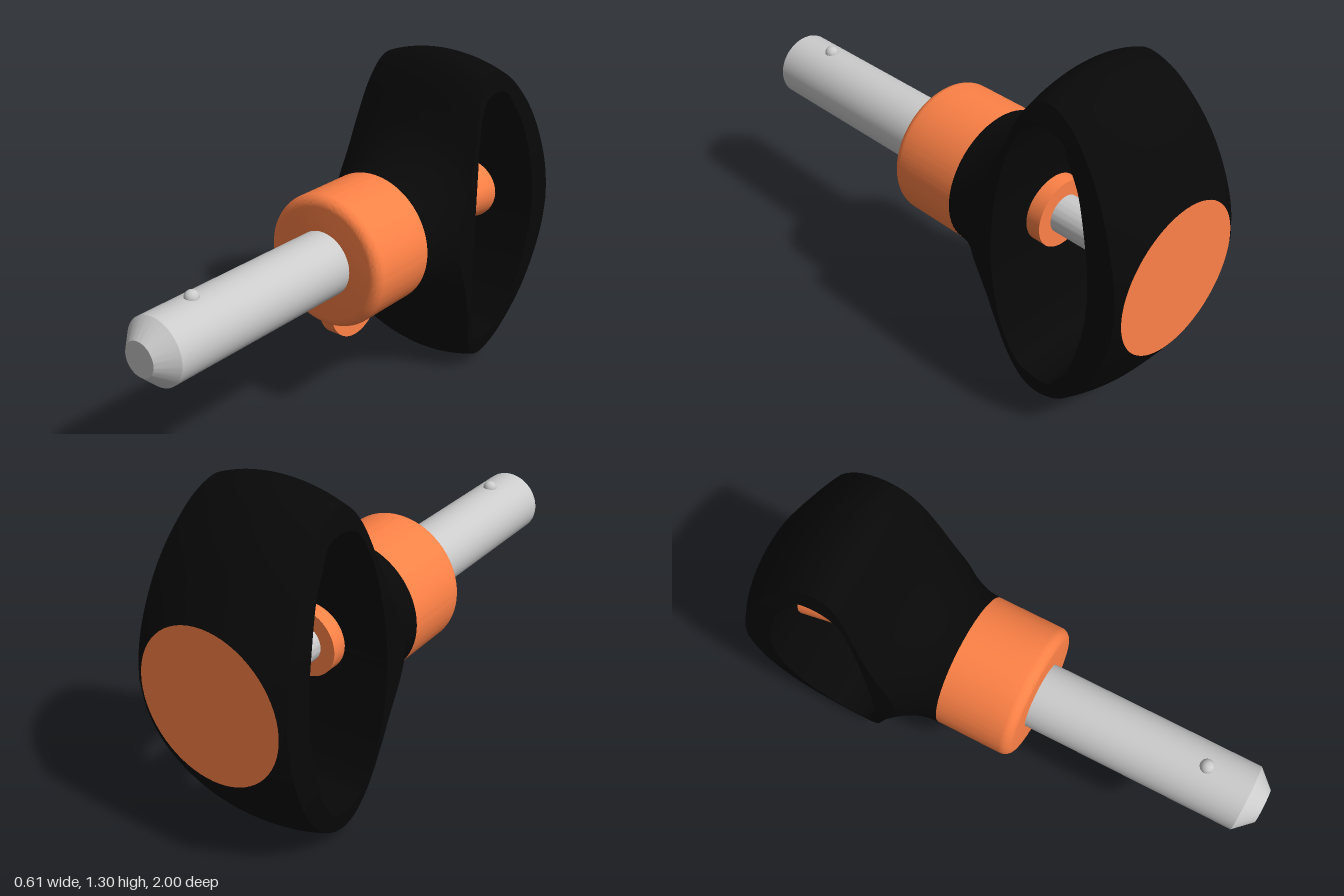
import * as THREE from 'three';
import { toCreasedNormals } from 'three/addons/utils/BufferGeometryUtils.js';

const AXIS_Y = 0.652;
const steel = new THREE.MeshStandardMaterial({ color: 0xcccccc });
const orange = new THREE.MeshStandardMaterial({ color: 0xff8247 });
const black = new THREE.MeshStandardMaterial({ color: 0x080808, side: THREE.DoubleSide });

// Smooth curve through [z, radius] pairs
const smooth = (pts, n) =>
  new THREE.CatmullRomCurve3(pts.map(([z, r]) => new THREE.Vector3(z, r, 0))).getPoints(n);

// Solid of revolution about z from [radius, z] pairs, listed with z rising
function turned(pts, segments = 64) {
  const g = new THREE.LatheGeometry(pts.map(([r, z]) => new THREE.Vector2(r, z)), segments);
  return g.rotateX(Math.PI / 2);
}

// Surface patch from a point rule f(i, v), with i = 0..nu and v = 0..1
function patch(f, nu, nv) {
  const pos = [], idx = [];
  for (let i = 0; i <= nu; i++)
    for (let j = 0; j <= nv; j++) pos.push(...f(i, j / nv));
  for (let i = 0; i < nu; i++)
    for (let j = 0; j < nv; j++) {
      const a = i * (nv + 1) + j, b = a + nv + 1;
      idx.push(a, b, a + 1, b, b + 1, a + 1);
    }
  const g = new THREE.BufferGeometry();
  g.setAttribute('position', new THREE.Float32BufferAttribute(pos, 3));
  g.setIndex(idx);
  g.computeVertexNormals();
  return g;
}

// Handle: a turned body trimmed by two bowed sides, with a window through it
function makeHandle() {
  const handle = new THREE.Group();
  handle.name = 'handle';
  const outline = smooth([[-0.2, 0.26], [-0.255, 0.267], [-0.315, 0.29], [-0.37, 0.325], [-0.42, 0.375],
    [-0.46, 0.45], [-0.52, 0.58], [-0.57, 0.637], [-0.625, 0.652], [-0.715, 0.625], [-0.8, 0.56],
    [-0.877, 0.476], [-0.957, 0.355], [-1, 0.283]], 300);
  const windowEdge = smooth([[-0.45, 0], [-0.453, 0.1], [-0.465, 0.22], [-0.487, 0.35], [-0.52, 0.45],
    [-0.56, 0.505], [-0.625, 0.523], [-0.7, 0.508], [-0.75, 0.44], [-0.797, 0.365], [-0.855, 0.18],
    [-0.872, 0.08], [-0.877, 0]], 72);

  const radiusAt = z => {
    let k = 1;
    while (k < outline.length - 1 && outline[k].x > z) k++;
    const a = outline[k - 1], b = outline[k];
    return a.y + (b.y - a.y) * THREE.MathUtils.clamp((z - a.x) / (b.x - a.x), 0, 1);
  };
  const halfWidth = y => 0.305 - 0.167 * y * y;
  const rimHeight = r => {
    let y = r;
    for (let k = 0; k < 12; k++) y = Math.sqrt(Math.max(0, r * r - halfWidth(y) ** 2));
    return y;
  };

  // Stations along z: neck, window, back
  const stations = [];
  for (let i = 0; i < 30; i++) stations.push([-0.2 - 0.25 * i / 30, 0]);
  windowEdge.forEach(p => stations.push([p.x, Math.max(0, p.y)]));
  for (let i = 1; i <= 24; i++) stations.push([-0.877 - 0.123 * i / 24, 0]);
  const rows = stations.map(([z, h]) => {
    const r = radiusAt(z), rim = rimHeight(r);
    return { z, h, r, rim, angle: Math.acos(rim / r) };
  });
  const n = rows.length - 1;

  const outer = patch((i, v) => {
    const { z, r, angle } = rows[i], t = angle * (1 - 2 * v);
    return [r * Math.sin(t), r * Math.cos(t), z];
  }, n, 32);
  const side = s => patch((i, v) => {
    const { z, h, rim } = rows[i];
    const y = THREE.MathUtils.lerp(h, rim, s > 0 ? v : 1 - v);
    return [s * halfWidth(y), y, z];
  }, n, 8);
  const inner = patch((i, v) => {
    const { x: z, y } = windowEdge[i], h = Math.max(0, y);
    return [halfWidth(h) * (2 * v - 1), h, z];
  }, windowEdge.length - 1, 4);

  // The lower half is the upper half turned about the axis
  for (const [half, turn] of [['upper', 0], ['lower', Math.PI]]) {
    const parts = { OuterSurface: outer, LeftSide: side(1), RightSide: side(-1), WindowWall: inner };
    for (const [name, geometry] of Object.entries(parts)) {
      const m = new THREE.Mesh(geometry, black);
      m.name = half + name;
      m.rotation.z = turn;
      handle.add(m);
    }
  }
  return handle;
}

export function createModel() {
  const model = new THREE.Group();
  model.name = 'quickReleasePin';
  const body = new THREE.Group();
  body.name = 'body';
  body.position.y = AXIS_Y;
  model.add(body);
  const add = (name, geometry, material) => {
    const m = new THREE.Mesh(geometry, material);
    m.name = name;
    body.add(m);
    return m;
  };
  const addTurned = (name, pts, material) => add(name, toCreasedNormals(turned(pts), 0.5), material);

  body.add(makeHandle());

  // Pin shank with chamfered tip, and two locking balls
  addTurned('shank', [[0.127, 0.05], [0.127, 0.935], [0.065, 1], [0, 1]], steel);
  for (const s of [1, -1])
    add(s > 0 ? 'upperBall' : 'lowerBall', new THREE.SphereGeometry(0.027, 24, 16), steel)
      .position.set(0, s * 0.125, 0.76);

  // Collar with rounded front edge; the ring hole grooves its underside
  const hole = { z: -0.053, y: -0.257, r: 0.05 };
  const profile = [[0, -0.2], [0.26, -0.2], [0.26, -0.15]];
  for (let i = 0; i <= 24; i++)
    profile.push([0.26, hole.z - hole.r * Math.cos(Math.PI * i / 24)]);
  for (let i = 0; i <= 8; i++) {
    const a = Math.PI / 2 * i / 8;
    profile.push([0.22 + 0.04 * Math.cos(a), 0.06 + 0.04 * Math.sin(a)]);
  }
  profile.push([0, 0.1]);
  const collar = turned(profile, 192), p = collar.attributes.position;
  for (let i = 0; i < p.count; i++) {
    const d = Math.abs(p.getZ(i) - hole.z);
    if (d < hole.r)
      p.setY(i, Math.max(p.getY(i), hole.y + Math.sqrt(hole.r ** 2 - d * d)));
  }
  add('collar', toCreasedNormals(collar, 0.5), orange);

  // Ring lug under the collar
  const lug = new THREE.Shape().absarc(-0.063, -0.207, 0.145, 0, Math.PI * 2);
  lug.holes.push(new THREE.Path().absarc(hole.z, hole.y, hole.r, 0, Math.PI * 2, true));
  const lugGeometry = new THREE.ExtrudeGeometry(lug, { depth: 0.06, bevelEnabled: false, curveSegments: 48 });
  lugGeometry.translate(0, 0, -0.03).rotateY(-Math.PI / 2);
  add('ringLug', toCreasedNormals(lugGeometry, 0.5), orange);

  // Release plunger inside the window
  addTurned('plungerFlange', [[0, -0.51], [0.13, -0.51], [0.13, -0.44]], orange);
  addTurned('plungerRod', [[0.072, -0.74], [0.072, -0.49]], steel);
  addTurned('plungerButton', [[0.131, -0.885], [0.105, -0.72], [0, -0.72]], orange);

  // Round back plate
  addTurned('backPlate', [[0, -1], [0.283, -1]], orange);
  return model;
}
